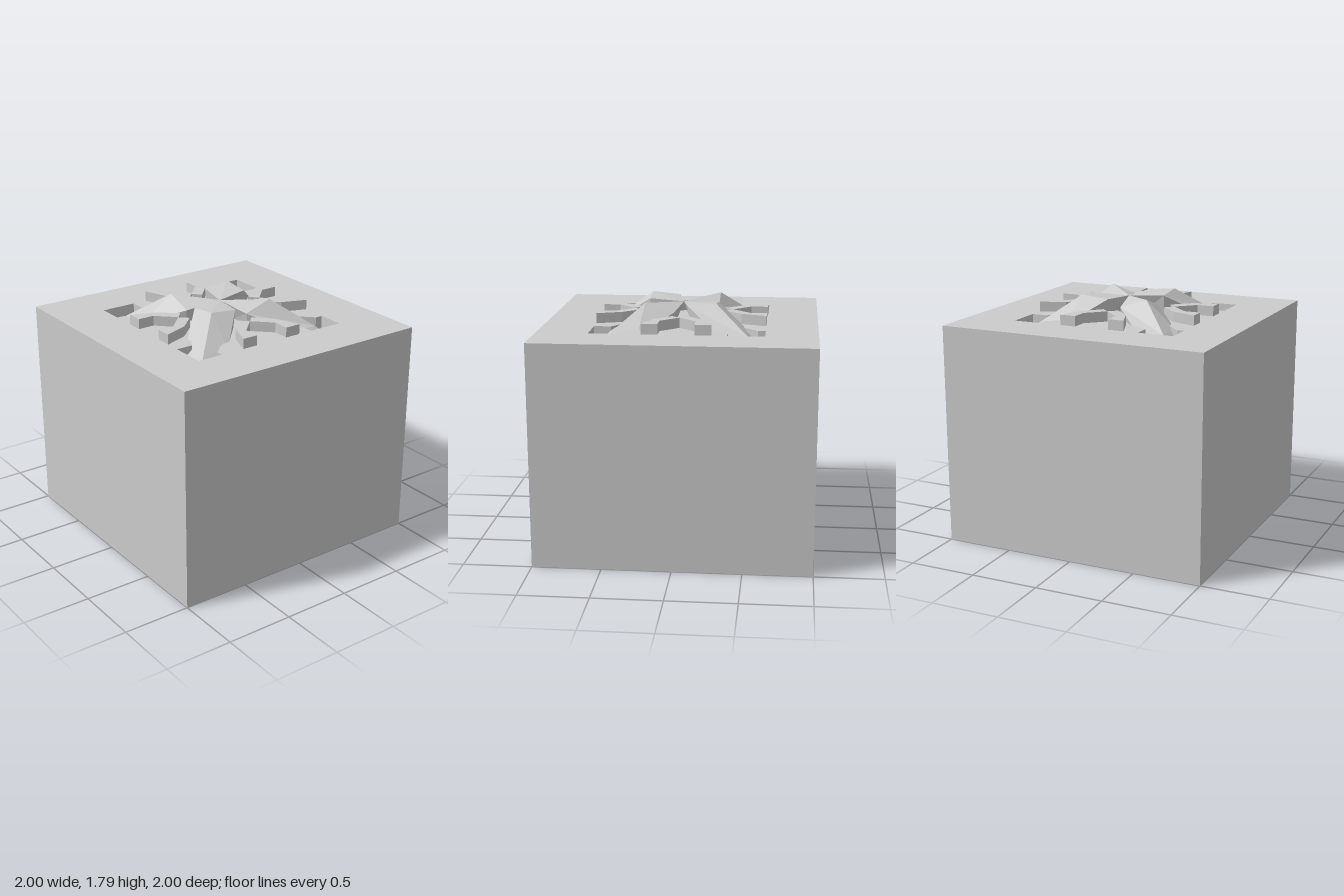
import * as THREE from 'three';

const mat = new THREE.MeshStandardMaterial({ color: 0xcccccc, flatShading: true, side: THREE.DoubleSide });
const TOP = 1.63, PIT = 1.45;

// Quarter turns of a plan point [x, z] about the centre
const turn = ([x, z], n) => (n === 0 ? [x, z] : turn([-z, x], n - 1));
const toVectors = (pts) => pts.map(([x, z]) => new THREE.Vector2(x, z));

// Extrudes a plan outline downward from the height y
function slab(name, shape, y, depth) {
  const geo = new THREE.ExtrudeGeometry(shape, { depth, bevelEnabled: false });
  geo.rotateX(Math.PI / 2).translate(0, y, 0);
  const mesh = new THREE.Mesh(geo, mat);
  mesh.name = name;
  return mesh;
}

// Closed solid from equal cross-sections, with a fan cap on each end
function loft(sections) {
  const pos = [];
  const tri = (a, b, c) => pos.push(...a, ...b, ...c);
  const n = sections[0].length;
  for (let s = 0; s < sections.length - 1; s++) {
    for (let i = 0; i < n; i++) {
      const j = (i + 1) % n, p = sections[s], q = sections[s + 1];
      tri(p[i], q[i], q[j]);
      tri(p[i], q[j], p[j]);
    }
  }
  const first = sections[0], last = sections[sections.length - 1];
  for (let i = 1; i < n - 1; i++) {
    tri(first[0], first[i], first[i + 1]);
    tri(last[0], last[i + 1], last[i]);
  }
  const geo = new THREE.BufferGeometry();
  geo.setAttribute('position', new THREE.Float32BufferAttribute(pos, 3));
  geo.computeVertexNormals();
  return geo;
}

// Diagonal arm rising from a corner recess to the centre
function armGeometry(sideY) {
  const section = (r, w, y, ySide, foot) => [
    [r - w, ySide, r], [r, y, r], [r, ySide, r - w],
    [r, foot, r - w + 0.02], [r - w + 0.02, foot, r],
  ];
  const tip = [0, 1.76, 0], base = [0.06, TOP - 0.02, 0.06];
  return loft([
    [tip, tip, tip, base, base],
    section(0.26, 0.21, 1.79, sideY, TOP - 0.02),
    section(0.5, 0.21, 1.6, 1.6, PIT),
    section(0.625, 0.2, 1.49, 1.49, PIT),
  ]);
}

export function createModel() {
  const model = new THREE.Group();

  // Block: solid lower part and a top layer with a recess at each corner
  const lower = new THREE.Mesh(new THREE.BoxGeometry(2, PIT, 2), mat);
  lower.position.y = PIT / 2;
  lower.name = 'blockBase';
  model.add(lower);

  const top = new THREE.Shape(toVectors([[-1, -1], [1, -1], [1, 1], [-1, 1]]));
  const recess = [[0.36, 0.625], [0.36, 0.5], [0.28, 0.45], [0.24, 0.43], [0.43, 0.24],
    [0.45, 0.29], [0.5, 0.36], [0.57, 0.43], [0.625, 0.43], [0.625, 0.625]];
  for (let n = 0; n < 4; n++) {
    top.holes.push(new THREE.Path(toVectors(recess.map((p) => turn(p, n)))));
  }
  model.add(slab('blockTop', top, TOP, TOP - PIT));

  // Four arms; neighbours differ in the height of their side corners
  for (let n = 0; n < 4; n++) {
    const arm = new THREE.Mesh(armGeometry(n % 2 ? 1.72 : 1.77), mat);
    arm.rotation.y = -n * Math.PI / 2;
    arm.name = 'diagonalArm';
    model.add(arm);
  }

  // Pair of bent bars on every side, meeting near the centre
  const bar = [[0.13, 0.625], [0.13, 0.5], [0, 0.37], [0.06, 0.31], [0.18, 0.44], [0.25, 0.625]];
  for (let n = 0; n < 4; n++) {
    for (const side of [1, -1]) {
      const outline = bar.map(([x, z]) => turn([x * side, z], n));
      model.add(slab('bentBar', new THREE.Shape(toVectors(outline)), 1.705, 0.1));
    }
  }
  return model;
}
